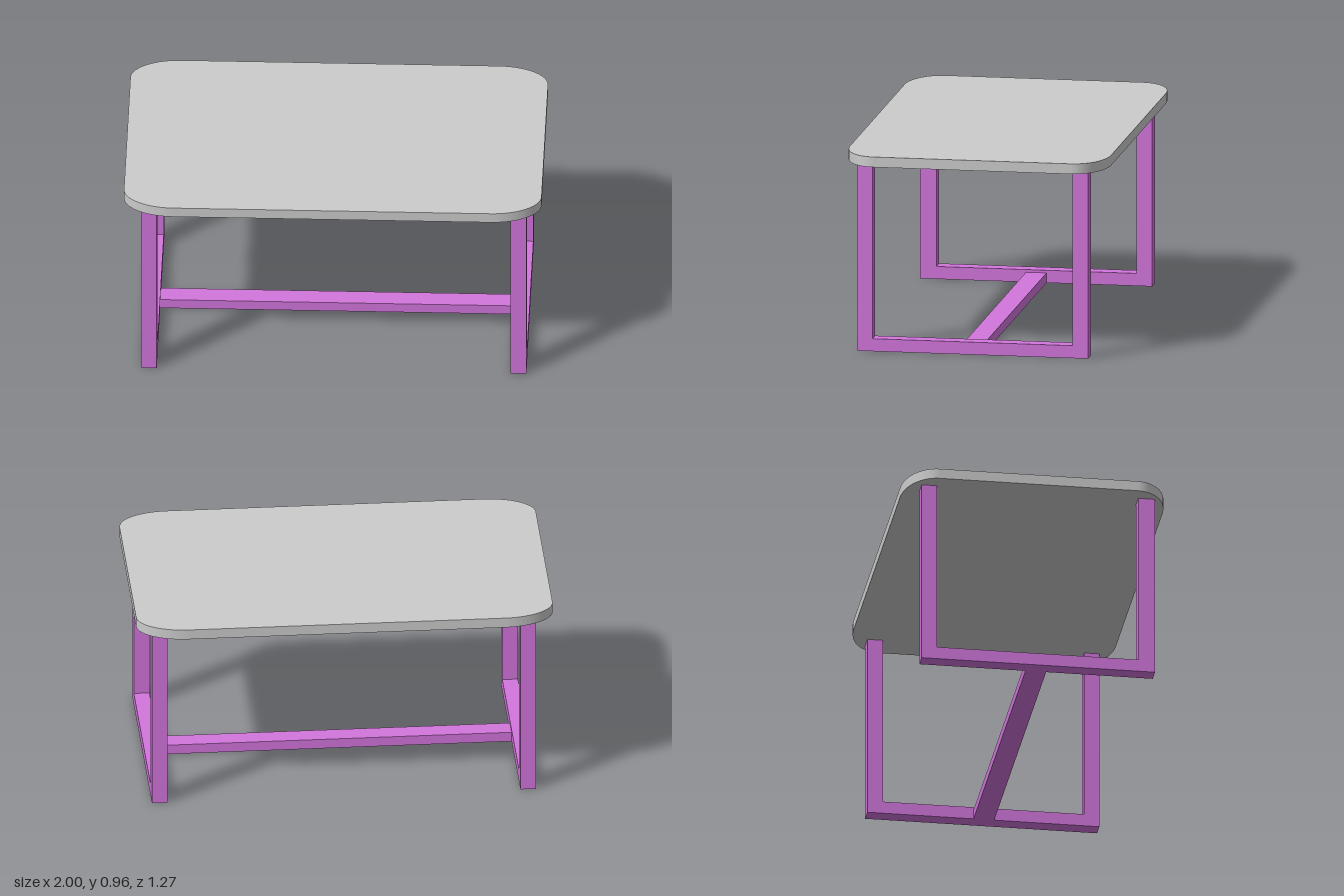
import * as THREE from 'three';

const grey = new THREE.MeshStandardMaterial({ color: 0xcccccc });
const purple = new THREE.MeshStandardMaterial({ color: 0xd275dc });

// Box given by its minimum and maximum corners
function bar(name, [x0, y0, z0], [x1, y1, z1]) {
  const mesh = new THREE.Mesh(new THREE.BoxGeometry(x1 - x0, y1 - y0, z1 - z0), purple);
  mesh.name = name;
  mesh.position.set((x0 + x1) / 2, (y0 + y1) / 2, (z0 + z1) / 2);
  return mesh;
}

// U-shaped frame: two legs joined by a floor rail
function sideFrame(name, x0, x1, front, back) {
  const frame = new THREE.Group();
  frame.name = name;
  const legTop = 0.913, innerFront = 0.495, innerBack = -0.478;
  frame.add(
    bar('frontLeg', [x0, 0, innerFront], [x1, legTop, front]),
    bar('backLeg', [x0, 0, back], [x1, legTop, innerBack]),
    bar('floorRail', [x0, 0, innerBack], [x1, 0.061, innerFront])
  );
  return frame;
}

// Slab with elliptical corners
function tableTop() {
  const w = 1, d = 0.635, rx = 0.24, rz = 0.155;
  const s = new THREE.Shape();
  s.moveTo(w, -d + rz);
  s.absellipse(w - rx, d - rz, rx, rz, 0, Math.PI / 2);
  s.absellipse(-w + rx, d - rz, rx, rz, Math.PI / 2, Math.PI);
  s.absellipse(-w + rx, -d + rz, rx, rz, Math.PI, Math.PI * 1.5);
  s.absellipse(w - rx, -d + rz, rx, rz, Math.PI * 1.5, Math.PI * 2);
  const geo = new THREE.ExtrudeGeometry(s, { depth: 0.05, bevelEnabled: false, curveSegments: 12 });
  geo.rotateX(-Math.PI / 2);
  const mesh = new THREE.Mesh(geo, grey);
  mesh.name = 'tableTop';
  mesh.position.y = 0.913;
  return mesh;
}

export function createModel() {
  const table = new THREE.Group();
  table.name = 'table';
  table.add(
    tableTop(),
    sideFrame('leftFrame', 0.855, 0.93, 0.569, -0.553),
    sideFrame('rightFrame', -0.915, -0.84, 0.576, -0.553),
    // Long bar between the two floor rails
    bar('stretcher', [-0.84, 0, -0.04], [0.855, 0.048, 0.06])
  );
  return table;
}
